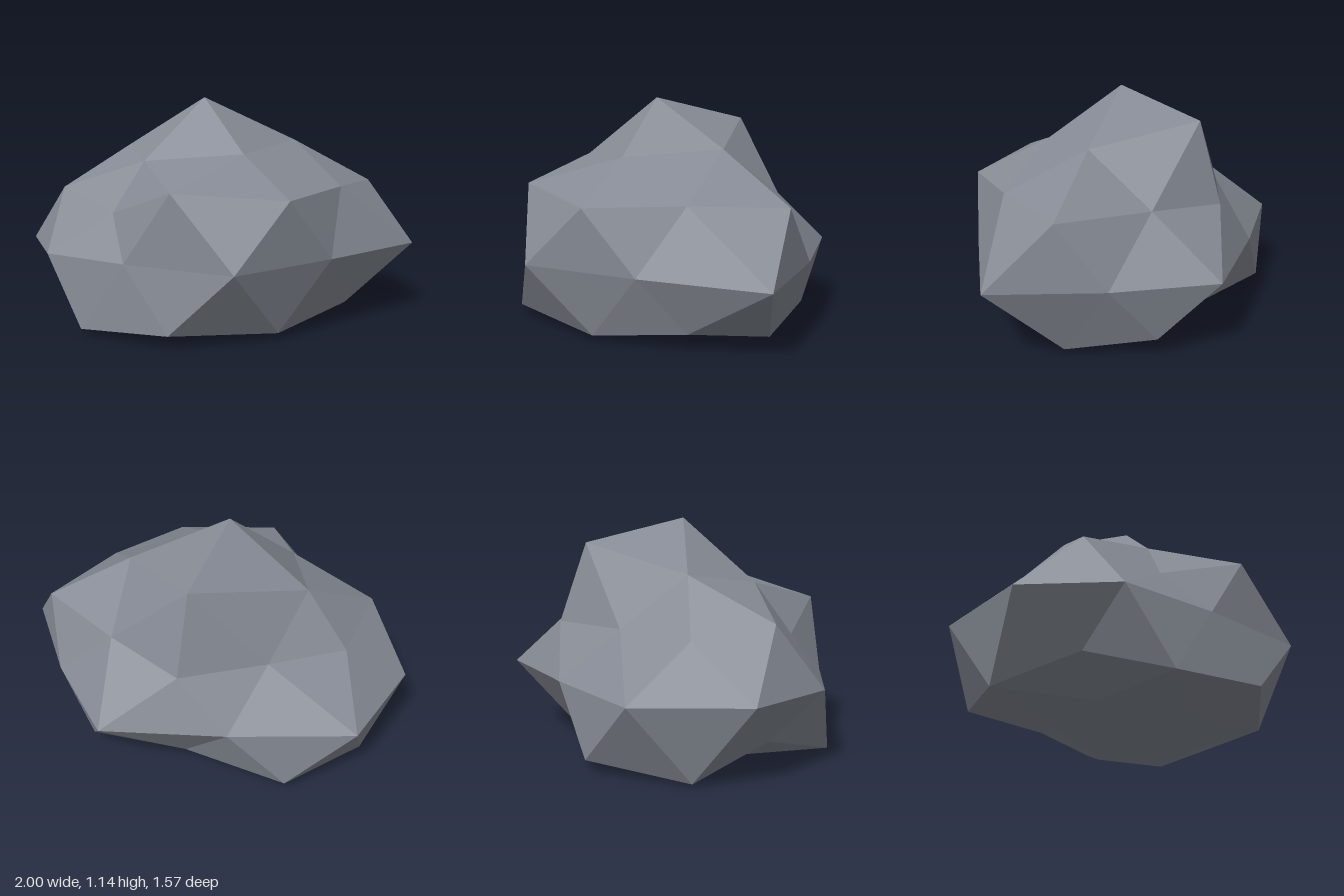
import * as THREE from 'three';
import { ConvexGeometry } from 'three/addons/geometries/ConvexGeometry.js';

// Rings of a once-subdivided icosphere: height, first angle (degrees), step,
// and how far each vertex is pushed in or out along its direction.
const rings = [
  { y: 1, start: 0, step: 360, push: [1.155] },
  { y: 0.851, start: 0, step: 72, push: [0.95, 0.87, 0.8, 0.9, 1.14] },
  { y: 0.526, start: 36, step: 72, push: [0.93, 0.99, 0.875, 0.73, 0.83] },
  { y: 0.447, start: 0, step: 72, push: [1.04, 1.03, 0.7, 0.8, 0.85] },
  { y: 0, start: 18, step: 36, push: [1.135, 0.9, 1.04, 0.8, 0.875, 0.967, 1.045, 0.87, 1.04, 0.92] },
  { y: -0.447, start: 36, step: 72, push: [0.925, 1.02, 0.79, 1.035, 0.96] },
  { y: -0.526, start: 0, step: 72, push: [0.975, 0.97, 0.98, 1.017, 0.8] },
  { y: -0.851, start: 36, step: 72, push: [1, 0.98, 0.86, 0.81, 1.15] },
  { y: -1, start: 0, step: 360, push: [1] },
];

const centre = new THREE.Vector3(-0.08, 0.37, -0.07);
const scale = new THREE.Vector3(1, 0.667, 0.815);

function createRockGeometry() {
  const dirs = [];
  const push = [];
  for (const ring of rings) {
    const r = Math.sqrt(1 - ring.y * ring.y);
    ring.push.forEach((p, i) => {
      const a = THREE.MathUtils.degToRad(ring.start + i * ring.step);
      dirs.push(new THREE.Vector3(r * Math.cos(a), ring.y, r * Math.sin(a)));
      push.push(p);
    });
  }

  // The hull of the directions gives the faces of the sphere
  const geometry = new ConvexGeometry(dirs);
  const pos = geometry.attributes.position;
  const v = new THREE.Vector3();
  for (let i = 0; i < pos.count; i++) {
    v.fromBufferAttribute(pos, i);
    let best = 0;
    dirs.forEach((d, k) => {
      if (d.distanceToSquared(v) < dirs[best].distanceToSquared(v)) best = k;
    });
    // Push, squash, and flatten the underside on the ground
    v.copy(dirs[best]).multiplyScalar(push[best]).multiply(scale).add(centre);
    pos.setXYZ(i, v.x, Math.max(v.y, 0), v.z);
  }
  geometry.computeVertexNormals();
  return geometry;
}

export function createModel() {
  const stone = new THREE.MeshStandardMaterial({ color: 0x858a94, flatShading: true });
  stone.name = 'stone grey';

  const rock = new THREE.Mesh(createRockGeometry(), stone);
  rock.name = 'boulder';

  const group = new THREE.Group();
  group.name = 'rock';
  group.add(rock);
  return group;
}
